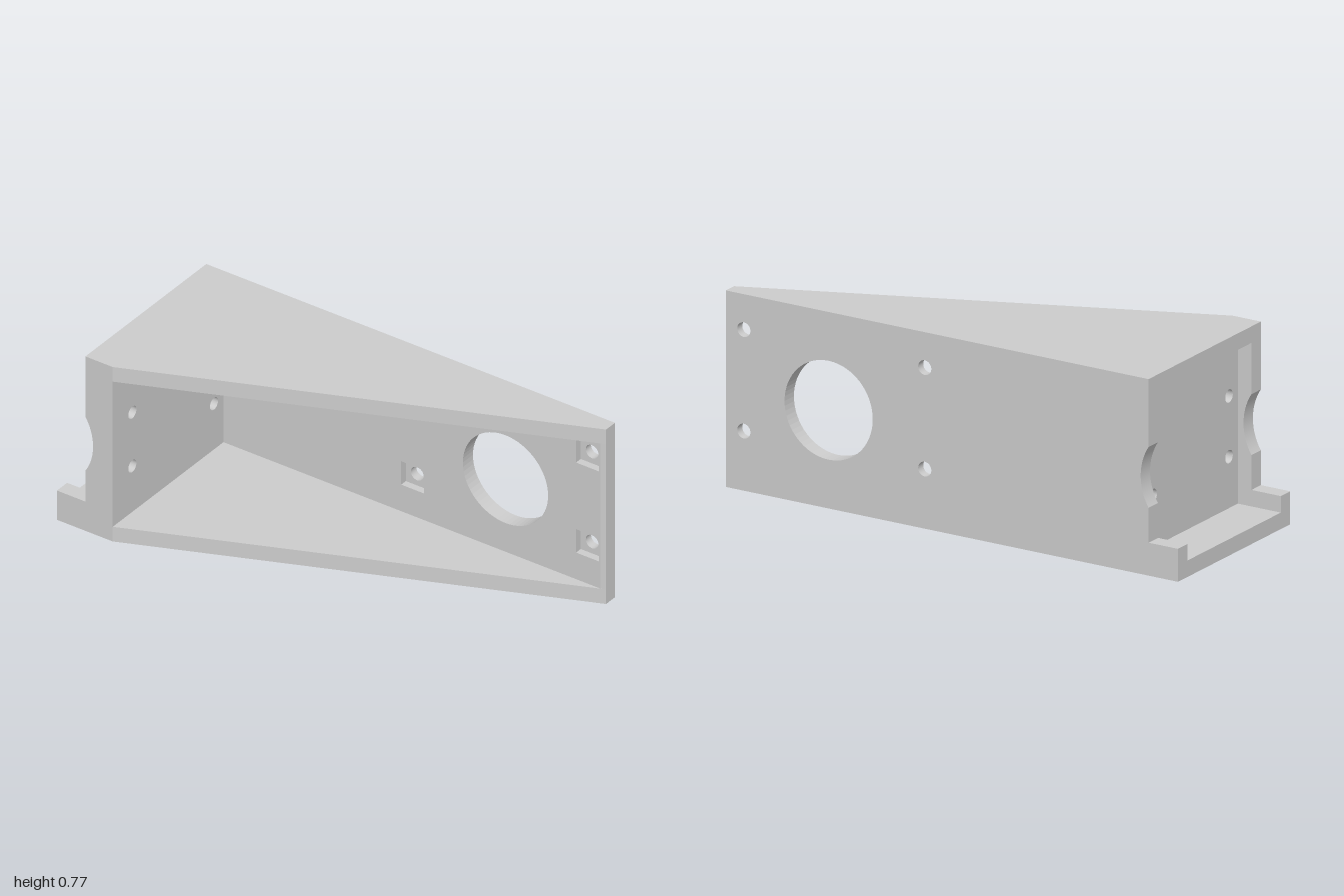
import * as THREE from 'three';

const H = 0.775, D = 0.388, T = 0.065, IN = D - T;   // height, half depth, wall thickness, inner half depth
const LIP = -0.87, WALL = -0.745, TIP = 0.98, TIP_Z = -0.331;
const mat = new THREE.MeshStandardMaterial({ color: 0xcccccc });

function addMesh(group, name, geometry) {
  const mesh = new THREE.Mesh(geometry, mat);
  mesh.name = name;
  group.add(mesh);
  return mesh;
}

function polygon(points) {
  return new THREE.Shape(points.map(([x, y]) => new THREE.Vector2(x, y)));
}

function extrude(shape, depth) {
  return new THREE.ExtrudeGeometry(shape, { depth, bevelEnabled: false, curveSegments: 32 });
}

function roundHole(shape, x, y, r) {
  const hole = new THREE.Path();
  hole.absarc(x, y, r, 0, Math.PI * 2, true);
  shape.holes.push(hole);
}

function squareHole(shape, x, y, s) {
  shape.holes.push(new THREE.Path([[-s, -s], [-s, s], [s, s], [s, -s]]
    .map(([a, b]) => new THREE.Vector2(x + a, y + b))));
}

// Plan outline given as [x, z], raised from y0 to y1
function slab(points, y0, y1) {
  const g = extrude(polygon(points.map(([x, z]) => [x, -z])), y1 - y0);
  return g.rotateX(-Math.PI / 2).translate(0, y0, 0);
}

// Upright wall between floor and roof, with the stepped and scooped left edge
function sideProfile(xMax) {
  const s = new THREE.Shape();
  s.moveTo(-1, T);
  s.lineTo(xMax, T);
  s.lineTo(xMax, H - T);
  s.lineTo(LIP, H - T);
  s.absarc(-1.058, H / 2, 0.223, 0.568, -0.568, true);
  s.lineTo(LIP, 0.13);
  s.lineTo(-1, 0.13);
  return s;
}

export function createModel() {
  const model = new THREE.Group();
  model.name = 'wedgeBracket';

  // Tapered floor and shorter roof
  const plan = (left) => [[left, D], [WALL, D], [1, TIP_Z], [1, -D], [left, -D]];
  addMesh(model, 'floor', slab(plan(-1), 0, T));
  addMesh(model, 'roof', slab(plan(LIP), H - T, H));

  // Back plate in two layers: screw holes outside, square nut pockets inside
  const pocketDepth = 0.03;
  const outer = sideProfile(TIP), inner = sideProfile(TIP);
  for (const shape of [outer, inner]) roundHole(shape, 0.545, H / 2, 0.195);
  for (const x of [0.12, 0.92]) {
    for (const y of [0.235, 0.635]) {
      roundHole(outer, x, y, 0.029);
      squareHole(inner, x, y, 0.052);
    }
  }
  addMesh(model, 'backPlateOuter', extrude(outer, T - pocketDepth)).position.z = -D;
  addMesh(model, 'backPlateInner', extrude(inner, pocketDepth)).position.z = -IN - pocketDepth;
  addMesh(model, 'backPlateTip', slab([[TIP, -IN], [1, TIP_Z], [1, -D], [TIP, -D]], T, H - T));

  // Short front wall
  addMesh(model, 'frontWall', extrude(sideProfile(WALL - T), T)).position.z = IN;

  // Cross wall with four screw holes, drawn in z and y
  const cross = polygon([[-D, T], [IN, T], [IN, H - T], [-D, H - T]]);
  for (const z of [-0.262, 0.262]) {
    for (const y of [0.268, 0.507]) roundHole(cross, z, y, 0.026);
  }
  const crossWall = addMesh(model, 'crossWall', extrude(cross, T));
  crossWall.rotation.y = Math.PI / 2;
  crossWall.position.x = WALL - T;

  return model;
}
